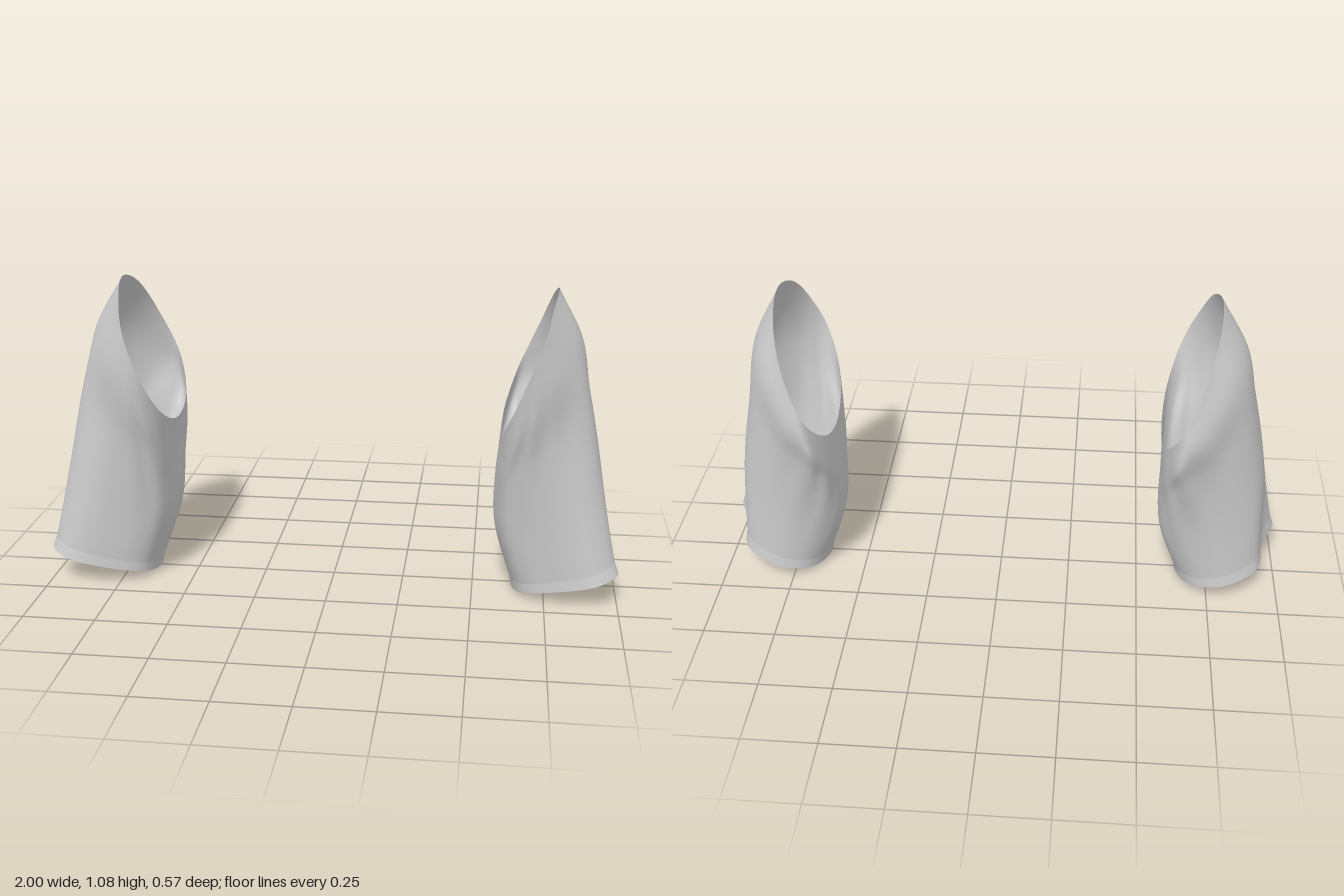
import * as THREE from 'three';

// Cross-sections of the left sleeve from hem to armhole, each running
// outer, front, inner (underarm), back.
const hem = [[.95, .095, .02], [.995, .108, .14], [.93, .088, .205], [.79, .05, .188], [.68, .02, .135],
  [.643, 0, .03], [.66, .01, -.085], [.715, .03, -.158], [.81, .052, -.178], [.92, .085, -.12]];
const forearm = [[.93, .42, .02], [.928, .4, .13], [.855, .36, .198], [.715, .3, .196], [.61, .25, .148],
  [.572, .23, .02], [.585, .24, -.12], [.663, .29, -.187], [.785, .35, -.19], [.895, .4, -.115]];
const upper = [[.875, .72, .02], [.862, .7, .128], [.775, .6, .208], [.672, .53, .23], [.59, .42, .16],
  [.567, .4, .02], [.576, .41, -.15], [.628, .5, -.237], [.75, .6, -.22], [.848, .7, -.118]];
const cap = [[.836, .905, .03], [.803, .88, .143], [.732, .78, .246], [.66, .67, .265], [.592, .54, .195],
  [.572, .5, .02], [.576, .51, -.17], [.622, .62, -.284], [.718, .75, -.255], [.806, .88, -.136]];
const armhole = [[.745, 1.074, .03], [.726, 1.035, .16], [.694, .93, .255], [.64, .79, .285], [.59, .645, .2],
  [.572, .57, .02], [.58, .61, -.16], [.626, .73, -.272], [.69, .89, -.24], [.732, 1.025, -.125]];

const columns = hem.map((_, i) => new THREE.CatmullRomCurve3(
  [hem, forearm, upper, cap, armhole].map((ring) => new THREE.Vector3(...ring[i]))));

// Smooth closed loop around the sleeve at height parameter v (0 hem, 1 armhole)
const loopAt = (v) => new THREE.CatmullRomCurve3(columns.map((c) => c.getPoint(v)), true);

// Soft diagonal folds at the front and back of the underarm
function fold(u, v) {
  const fade = Math.sin(Math.PI * v) ** 2;
  const near = (c) => Math.exp(-(((u - c) / .09) ** 2));
  return 1 + fade * .018 * (near(.32) + near(.7)) * Math.sin(u * 75 + v * 9)
    + fade * .005 * Math.sin(u * 38 - v * 14);
}

// Open cloth tube between v0 and v1, its scale going from s0 to s1 about each loop's centre
function clothTube(side, v0, v1, rows, s0, s1) {
  const cols = 80, pos = [], index = [];
  const lift = side < 0 ? .008 : 0; // the right sleeve hangs slightly higher
  for (let j = 0; j <= rows; j++) {
    const t = j / rows, v = v0 + (v1 - v0) * t;
    const lean = .014 * v * v; // both shoulders lean to the left
    const loop = loopAt(v);
    const points = Array.from({ length: cols }, (_, i) => loop.getPoint(i / cols));
    const centre = points.reduce((s, p) => s.add(p), new THREE.Vector3()).divideScalar(cols);
    points.forEach((p, i) => {
      const k = (s0 + (s1 - s0) * t) * fold(i / cols, v);
      pos.push(side * (centre.x + (p.x - centre.x) * k) + lean, p.y + lift, centre.z + (p.z - centre.z) * k);
    });
  }
  for (let j = 0; j < rows; j++) for (let i = 0; i < cols; i++) {
    const a = j * cols + i, b = j * cols + (i + 1) % cols, c = a + cols, d = b + cols;
    if (side > 0) index.push(a, c, b, b, c, d);
    else index.push(a, b, c, b, d, c);
  }
  const geo = new THREE.BufferGeometry();
  geo.setAttribute('position', new THREE.Float32BufferAttribute(pos, 3));
  geo.setIndex(index);
  geo.computeVertexNormals();
  return geo;
}

export function createModel() {
  const model = new THREE.Group();
  model.name = 'sleeves';
  const cloth = new THREE.MeshStandardMaterial({ color: 0xcccccc, side: THREE.DoubleSide });
  for (const [side, name] of [[1, 'left'], [-1, 'right']]) {
    const sleeve = new THREE.Group();
    sleeve.name = name + 'Sleeve';
    const add = (part, ...args) => {
      const mesh = new THREE.Mesh(clothTube(side, ...args), cloth);
      mesh.name = part;
      sleeve.add(mesh);
    };
    add('sleeveBody', 0, 1, 56, 1, 1);
    // Turned hem: a flared band outside, a folded edge inside
    add('hemBand', 0, .035, 3, 1.03, 1);
    add('hemFold', 0, .035, 3, 1, .975);
    model.add(sleeve);
  }
  return model;
}
